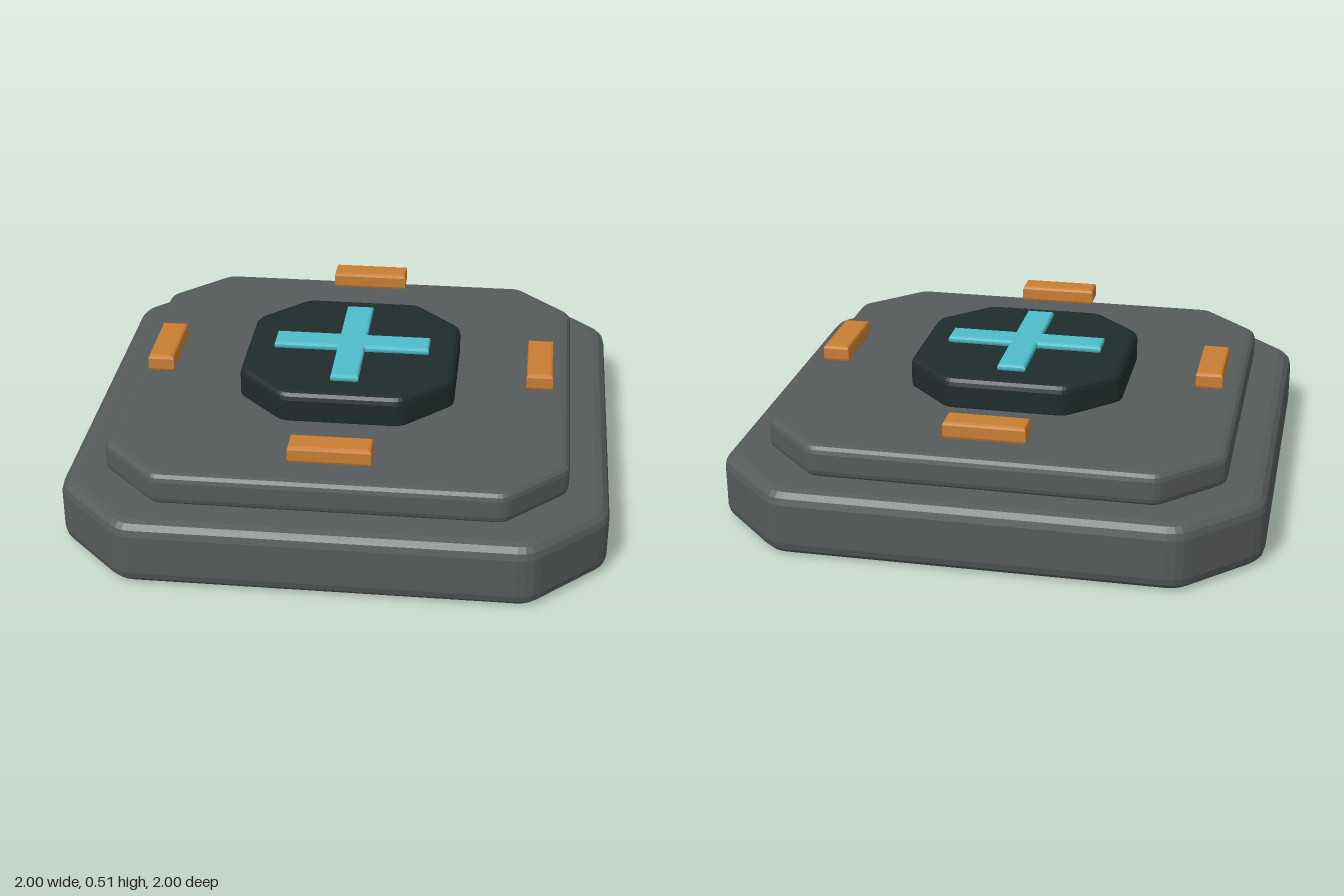
import * as THREE from 'three';

const material = (name, color) => {
  const m = new THREE.MeshStandardMaterial({ color });
  m.name = name;
  return m;
};

// Extrudes a plan shape upward from y0 to y1 with rounded rims inside the outline.
function slab(name, shape, y0, y1, bevel, mat, segments = 3) {
  const geometry = new THREE.ExtrudeGeometry(shape, {
    depth: y1 - y0 - 2 * bevel,
    bevelEnabled: true,
    bevelThickness: bevel,
    bevelSize: bevel,
    bevelOffset: -bevel,
    bevelSegments: segments,
    curveSegments: 3,
  });
  geometry.translate(0, 0, bevel);
  geometry.rotateX(-Math.PI / 2);
  const mesh = new THREE.Mesh(geometry, mat);
  mesh.name = name;
  mesh.position.y = y0;
  return mesh;
}

// Square of half-width h with cut corners starting at c, each corner softened by r.
function cutSquare(h, c, r) {
  const pts = [[h, -c], [h, c], [c, h], [-c, h], [-h, c], [-h, -c], [-c, -h], [c, -h]]
    .map(([x, y]) => new THREE.Vector2(x, y));
  const shape = new THREE.Shape();
  pts.forEach((p, i) => {
    const prev = pts[(i + 7) % 8], next = pts[(i + 1) % 8];
    const a = p.clone().add(prev.clone().sub(p).setLength(r));
    const b = p.clone().add(next.clone().sub(p).setLength(r));
    if (i === 0) shape.moveTo(a.x, a.y);
    else shape.lineTo(a.x, a.y);
    shape.quadraticCurveTo(p.x, p.y, b.x, b.y);
  });
  shape.closePath();
  return shape;
}

const polygon = (pts) => new THREE.Shape(pts.map(([x, y]) => new THREE.Vector2(x, y)));

export function createModel() {
  const grey = material('plate grey', 0x565a5b);
  const dark = material('hub dark', 0x202b2b);
  const orange = material('marker orange', 0xc97e32);
  const cyan = material('cross cyan', 0x4ebccb);

  const model = new THREE.Group();
  model.name = 'landingPad';

  // Stepped platform and raised centre
  model.add(slab('basePlate', cutSquare(1, 0.73, 0.05), 0, 0.25, 0.05, grey));
  model.add(slab('upperPlate', cutSquare(0.85, 0.63, 0.03), 0.245, 0.37, 0.03, grey));
  model.add(slab('hub', cutSquare(0.41, 0.225, 0.03), 0.345, 0.485, 0.03, dark));

  // Plus-shaped inlay on the hub
  const l = 0.3, w = 0.053;
  const cross = polygon([
    [l, -w], [l, w], [w, w], [w, l], [-w, l], [-w, w],
    [-l, w], [-l, -w], [-w, -w], [-w, -l], [w, -l], [w, -w],
  ]);
  model.add(slab('cross', cross, 0.485, 0.513, 0.01, cyan, 2));

  // Four marker bars hovering above the upper plate, one per side
  const bar = polygon([[-0.15, -0.05], [0.15, -0.05], [0.15, 0.05], [-0.15, 0.05]]);
  ['front', 'left', 'back', 'right'].forEach((side, i) => {
    const angle = i * Math.PI / 2;
    const mesh = slab(side + 'Marker', bar, 0.41, 0.475, 0.012, orange, 2);
    mesh.position.x = 0.73 * Math.sin(angle);
    mesh.position.z = 0.73 * Math.cos(angle);
    mesh.rotation.y = angle;
    model.add(mesh);
  });

  return model;
}
